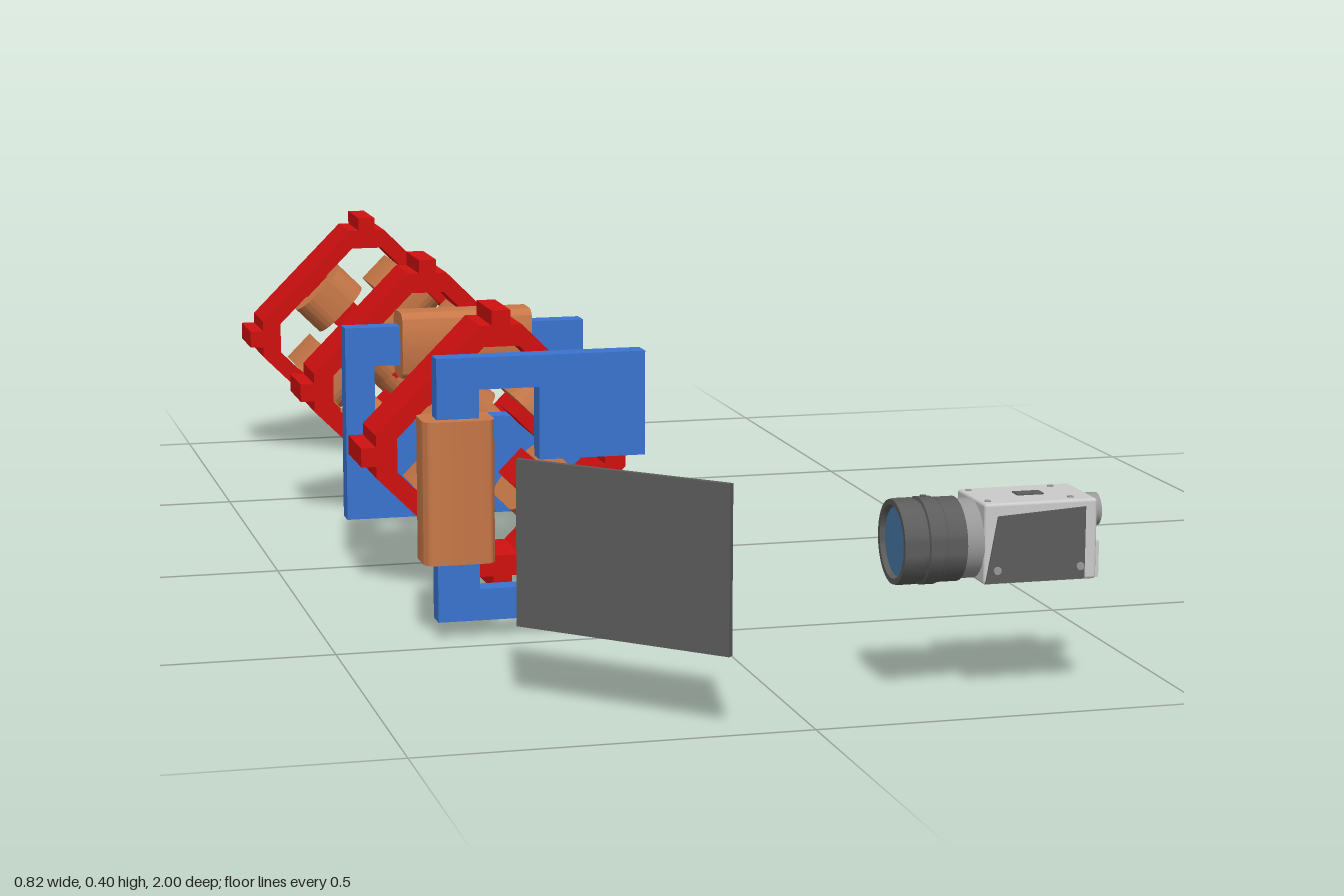
import * as THREE from 'three';
import { toCreasedNormals } from 'three/addons/utils/BufferGeometryUtils.js';
import { RoundedBoxGeometry } from 'three/addons/geometries/RoundedBoxGeometry.js';

const mat = (color) => new THREE.MeshStandardMaterial({ color });
const red = mat(0xd01010), blue = mat(0x3a74d0), copper = mat(0xc87848);
const grey = mat(0xcccccc), midGrey = mat(0x999999), dark = mat(0x5c5c5c), glass = mat(0x4a7aa8);
const AXIS_X = -0.21, AXIS_Y = 0.2;

function add(parent, name, geometry, material, x = 0, y = 0, z = 0) {
  const mesh = new THREE.Mesh(geometry, material);
  mesh.name = name;
  mesh.position.set(x, y, z);
  parent.add(mesh);
  return mesh;
}

const box = (w, h, d) => new THREE.BoxGeometry(w, h, d);
const points = (list) => list.map(([x, y]) => new THREE.Vector2(x, y));

// Extrusion centred on z = 0
function slab(shape, depth) {
  const g = new THREE.ExtrudeGeometry(shape, { depth, bevelEnabled: false, curveSegments: 10 });
  g.translate(0, 0, -depth / 2);
  return g;
}

// Diamond with its four corners cut off at the given distance
function cutDiamond(reach, cut) {
  const h = reach - cut;
  return points([[cut, -h], [cut, h], [h, cut], [-h, cut], [-cut, h], [-cut, -h], [-h, -cut], [h, -cut]]);
}

function roundedRect(w, h, r) {
  const s = new THREE.Shape(), x = w / 2, y = h / 2;
  s.absarc(x - r, y - r, r, 0, Math.PI / 2);
  s.absarc(-x + r, y - r, r, Math.PI / 2, Math.PI);
  s.absarc(-x + r, -y + r, r, Math.PI, Math.PI * 1.5);
  s.absarc(x - r, -y + r, r, Math.PI * 1.5, Math.PI * 2);
  s.closePath();
  return s;
}

// Four-pole magnet: diamond yoke, corner tabs, poles and racetrack coils
function quadrupole(z) {
  const g = new THREE.Group();
  g.name = 'fourPoleMagnet';
  g.position.set(AXIS_X, AXIS_Y, z);

  const yoke = new THREE.Shape(cutDiamond(0.209, 0.179));
  yoke.holes.push(new THREE.Path(cutDiamond(0.174, 0.149)));
  add(g, 'yoke', slab(yoke, 0.102), red);

  const coilShape = roundedRect(0.103, 0.176, 0.038);
  coilShape.holes.push(new THREE.Path(points([[-0.024, -0.05], [-0.024, 0.05], [0.024, 0.05], [0.024, -0.05]])));
  const coilGeometry = toCreasedNormals(slab(coilShape, 0.055).rotateX(-Math.PI / 2), 0.6);

  for (let i = 0; i < 4; i++) {
    const corner = new THREE.Group();
    corner.name = 'cornerTab';
    corner.rotation.z = i * Math.PI / 2;
    add(corner, 'tab', box(0.027, 0.026, 0.102), red, 0, 0.187, 0);
    const sector = new THREE.Group();
    sector.name = 'poleAndCoil';
    sector.rotation.z = (i + 0.5) * Math.PI / 2;
    add(sector, 'pole', box(0.048, 0.08, 0.1), red, 0, 0.087, 0);
    add(sector, 'coil', coilGeometry, copper, 0, 0.0935, 0);
    g.add(corner, sector);
  }
  return g;
}

// C-shaped steering magnet with one coil around its back leg
function steeringMagnet(z, turn) {
  const g = new THREE.Group();
  g.name = 'steeringMagnet';
  g.position.set(AXIS_X, AXIS_Y, z);
  g.rotation.z = turn;
  const yoke = new THREE.Shape(points([
    [-0.143, -0.178], [0.141, -0.178], [0.141, -0.036], [-0.004, -0.036], [-0.004, -0.135], [-0.086, -0.135],
    [-0.086, 0.135], [-0.004, 0.135], [-0.004, 0.037], [0.141, 0.037], [0.141, 0.178], [-0.143, 0.178],
  ]));
  add(g, 'cYoke', slab(yoke, 0.032), blue);
  // Prism with rounded long edges
  const coil = toCreasedNormals(slab(roundedRect(0.097, 0.069, 0.016), 0.193).rotateX(Math.PI / 2), 0.6);
  add(g, 'legCoil', coil, copper, -0.115, 0, 0);
  return g;
}

function camera() {
  const g = new THREE.Group();
  g.name = 'camera';
  g.position.set(0, 0.2, 0.885);

  // Housing with its round lens mount
  add(g, 'housing', new RoundedBoxGeometry(0.148, 0.102, 0.1, 2, 0.004), grey, 0.309, 0.001, 0);
  add(g, 'lensMount', new THREE.CylinderGeometry(0.05, 0.05, 0.024, 40).rotateZ(Math.PI / 2), midGrey, 0.224, 0, 0);

  // Lens barrel, turned around x
  const profile = points([
    [0.043, 0.138], [0.046, 0.132], [0.053, 0.132], [0.054, 0.137], [0.054, 0.158], [0.051, 0.159], [0.051, 0.164],
    [0.055, 0.165], [0.055, 0.182], [0.052, 0.183], [0.052, 0.187], [0.053, 0.188], [0.053, 0.213], [0, 0.213],
  ]);
  const barrel = toCreasedNormals(new THREE.LatheGeometry(profile.reverse(), 40), 0.5);
  barrel.rotateZ(-Math.PI / 2);
  const lens = add(g, 'lensBarrel', barrel, dark);
  lens.material = dark.clone();
  lens.material.side = THREE.DoubleSide;
  add(g, 'lensGlass', new THREE.CylinderGeometry(0.044, 0.044, 0.004, 40).rotateZ(Math.PI / 2), glass, 0.14, 0, 0);
  add(g, 'focusScrew', new THREE.CylinderGeometry(0.004, 0.004, 0.01, 12), dark, 0.172, 0.052, 0);

  // Slanted side panels with screws
  const panel = new THREE.Shape(points([[0.237, -0.048], [0.367, -0.048], [0.367, 0.043], [0.252, 0.036]]));
  for (const side of [-1, 1]) {
    add(g, 'sidePanel', slab(panel, 0.003), dark, 0, 0, side * 0.0505);
    for (const x of [0.252, 0.361]) {
      add(g, 'panelScrew', new THREE.CylinderGeometry(0.005, 0.005, 0.003, 16).rotateX(Math.PI / 2),
        midGrey, x, -0.032, side * 0.0525);
      add(g, 'topScrew', new THREE.CylinderGeometry(0.004, 0.004, 0.003, 16), midGrey, x - 0.008, 0.052, side * 0.034);
    }
  }
  add(g, 'topPlate', box(0.035, 0.002, 0.02), dark, 0.31, 0.0525, 0);

  // Rear sockets
  add(g, 'roundSocket', new THREE.CylinderGeometry(0.021, 0.021, 0.028, 28).rotateZ(Math.PI / 2), midGrey, 0.396, 0.023, -0.022);
  add(g, 'socketCore', new THREE.CylinderGeometry(0.015, 0.015, 0.002, 28).rotateZ(Math.PI / 2), dark, 0.41, 0.023, -0.022);
  add(g, 'rearPlate', box(0.005, 0.046, 0.09), grey, 0.3855, -0.026, 0);
  add(g, 'cableSocket', box(0.002, 0.026, 0.034), dark, 0.3885, -0.022, 0.006);
  return g;
}

export function createModel() {
  const model = new THREE.Group();
  model.name = 'beamline';
  for (const z of [0.147, -0.382, -0.912]) model.add(quadrupole(z));
  model.add(steeringMagnet(0.435, 0), steeringMagnet(-0.066, -Math.PI / 2));

  // Viewing screen set at 45 degrees to the axis
  const screen = add(model, 'screen', box(0.3, 0.211, 0.008), dark, -0.212, 0.2015, 0.888);
  screen.rotation.y = -Math.PI / 4;

  model.add(camera());
  return model;
}
